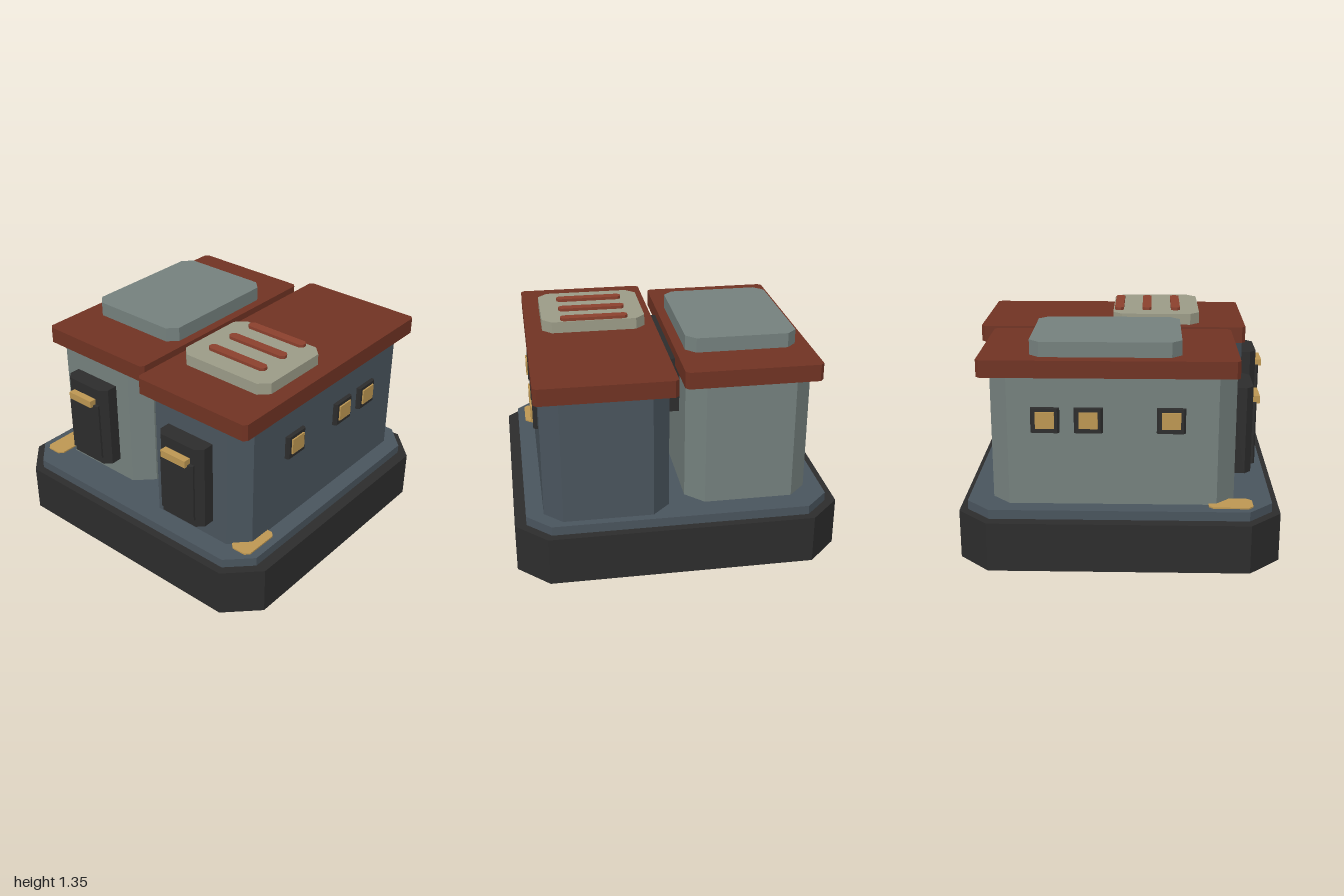
import * as THREE from 'three';

const mat = (name, color) => Object.assign(new THREE.MeshStandardMaterial({ color }), { name });

export function createModel() {
  const charcoal = mat('charcoal', 0x2d2d2d);
  const slate = mat('slate', 0x4a555e);
  const sage = mat('sage', 0x75817e);
  const rust = mat('rust', 0x713323);
  const brick = mat('brick', 0x8c412e);
  const cream = mat('cream', 0x9c9c88);
  const gold = mat('gold', 0xbe9853);

  const model = new THREE.Group();
  model.name = 'twinHouse';

  // Upright prism over a rectangle; corners cut by c = [back-left, back-right, front-right, front-left] in plan
  function prism(name, material, [x0, x1], [y0, y1], [z0, z1], cut = 0, parent = model) {
    const [a, b, c, d] = Array.isArray(cut) ? cut : [cut, cut, cut, cut];
    const corners = [
      [x0 + a, z0], [x1 - b, z0], [x1, z0 + b], [x1, z1 - c],
      [x1 - c, z1], [x0 + d, z1], [x0, z1 - d], [x0, z0 + a],
    ];
    const points = corners
      .filter(([x, z], i) => {
        const [px, pz] = corners[(i + 7) % 8];
        return Math.hypot(x - px, z - pz) > 1e-6;
      })
      .map(([x, z]) => new THREE.Vector2(x, -z));
    const geometry = new THREE.ExtrudeGeometry(new THREE.Shape(points), { depth: y1 - y0, bevelEnabled: false });
    geometry.rotateX(-Math.PI / 2).translate(0, y0, 0);
    const mesh = new THREE.Mesh(geometry, material);
    mesh.name = name;
    parent.add(mesh);
    return mesh;
  }

  // Plinth and floor slab
  prism('plinth', charcoal, [-1, 1], [0, 0.305], [-0.97, 0.97], 0.19);
  prism('floorSlab', slate, [-0.93, 0.93], [0.305, 0.362], [-0.92, 0.92], 0.145);

  // Two houses, each with walls, roof, door and a row of side windows
  const houses = [
    { side: -1, name: 'rightHouse', wall: sage, x: [-0.82, -0.055], z: [-0.77, 0.693],
      roofX: [-0.852, -0.027], roofZ: [-0.83, 0.70] },
    { side: 1, name: 'leftHouse', wall: slate, x: [0.058, 0.823], z: [-0.87, 0.793],
      roofX: [0.027, 0.855], roofZ: [-0.93, 0.802] },
  ];
  for (const h of houses) {
    const house = new THREE.Group();
    house.name = h.name;
    model.add(house);
    prism('walls', h.wall, h.x, [0.362, 1.152], h.z, 0.11, house);
    prism('roof', rust, h.roofX, [1.152, 1.256], h.roofZ, 0.022, house);

    // Door: chamfered frame, raised panel and lamp
    const front = h.z[1], cx = h.side * 0.44;
    const span = (half) => [cx - half, cx + half];
    prism('doorFrame', charcoal, span(0.17), [0.485, 1.03], [front - 0.02, front + 0.11], [0, 0, 0.04, 0.04], house);
    prism('doorPanel', charcoal, span(0.128), [0.535, 0.922], [front + 0.11, front + 0.133], [0, 0, 0.01, 0.01], house);
    prism('doorLamp', gold, span(0.094), [0.912, 0.958], [front + 0.108, front + 0.155], 0, house);

    // Windows on the outer wall
    const outward = (a, b) => (h.side > 0 ? [a, b] : [-b, -a]);
    for (const z of [0.305, -0.18, -0.435]) {
      prism('windowFrame', charcoal, outward(0.81, 0.85), [0.818, 0.968], [z - 0.085, z + 0.085],
        h.side > 0 ? [0, 0.012, 0.012, 0] : [0.012, 0, 0, 0.012], house);
      prism('windowPane', gold, outward(0.85, 0.86), [0.848, 0.948], [z - 0.056, z + 0.056], 0, house);
    }

    // Corner floor plate
    prism('floorPlate', gold, outward(0.742, 0.882), [0.362, 0.371], [0.535, 0.8], 0.026, house);
  }

  // Passage joining the houses
  prism('passage', charcoal, [-0.07, 0.07], [0.845, 1.197], [-0.46, 0.33]);

  // Roof hatches
  prism('largeHatch', sage, [-0.77, -0.085], [1.256, 1.347], [-0.53, 0.365], 0.06);
  prism('ventHatch', cream, [0.095, 0.75], [1.256, 1.328], [-0.067, 0.502], 0.06);
  for (const z of [-0.028, 0.157, 0.347]) {
    prism('ventSlat', brick, [0.208, 0.633], [1.328, 1.347], [z - 0.03, z + 0.03], 0.018);
  }

  return model;
}
